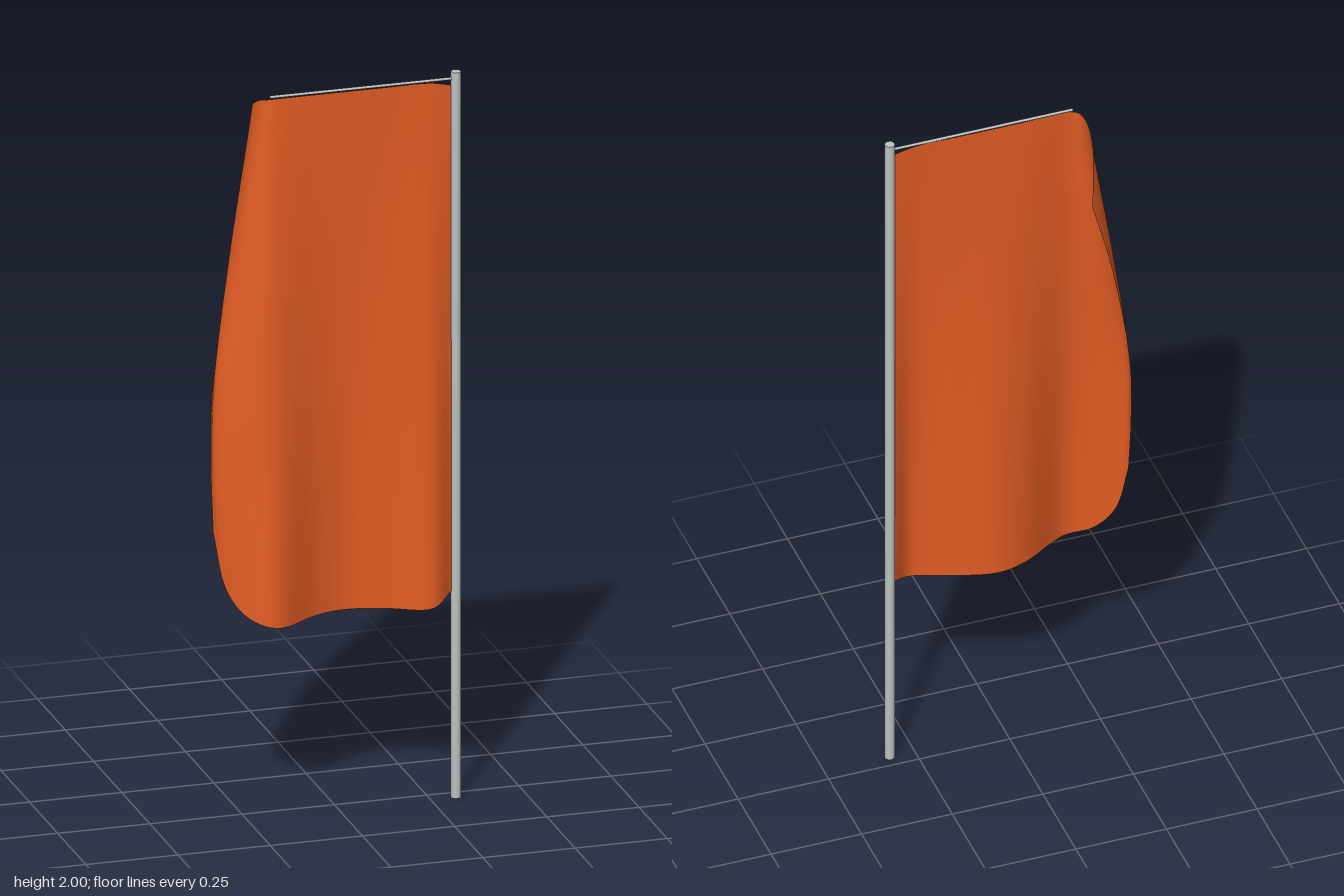
import * as THREE from 'three';

const V = (p) => new THREE.Vector3(...p);
const smooth = (points) => new THREE.CatmullRomCurve3(points, false, 'catmullrom', 0.5);

// Height, wave strength and free-edge curl [x, y, z] of the cloth, bottom to top
const SECTIONS = [
  { y: 0.54, wave: 1.0, curl: [[-0.18, 0.54, 0.103], [-0.26, 0.57, 0.075], [-0.31, 0.65, 0.04], [-0.332, 0.79, 0.012]] },
  { y: 0.86, wave: 0.8, curl: [[-0.18, 0.86, 0.088], [-0.27, 0.88, 0.06], [-0.325, 0.91, 0.024], [-0.332, 0.98, -0.008]] },
  { y: 0.2 + 1, wave: 0.55, curl: [[-0.18, 1.2, 0.071], [-0.265, 1.2, 0.05], [-0.32, 1.2, 0.008], [-0.315, 1.2, -0.04]] },
  { y: 1.6, wave: 0.25, curl: [[-0.18, 1.6, 0.052], [-0.245, 1.6, 0.025], [-0.268, 1.57, -0.03], [-0.25, 1.53, -0.09]] },
  { y: 1.975, wave: 0.0, curl: [[-0.18, 1.975, 0.036], [-0.211, 1.96, 0.0], [-0.207, 1.91, -0.06], [-0.19, 1.76, -0.105]] },
];

// Ripple of the cloth between the pole and the curl: [x, z offset at full strength]
const RIPPLE = [[0.24, 0.042], [0.13, 0.003], [0.03, -0.021], [-0.06, 0.0]];

function clothGeometry(cols = 64, rows = 48) {
  const rails = SECTIONS.map(({ y, wave, curl }, i) => {
    const hem = i === 0 ? 0.03 : i === SECTIONS.length - 1 ? -0.012 : 0; // rounded corners at the pole
    const points = [
      [0.308, y + hem, 0.035],
      ...RIPPLE.map(([x, dz]) => [x, y, 0.035 + dz * wave]),
      ...curl,
    ];
    return smooth(points.map(V));
  });
  const position = [];
  const index = [];
  for (let c = 0; c <= cols; c++) {
    const column = smooth(rails.map((rail) => rail.getPoint(c / cols)));
    for (let r = 0; r <= rows; r++) {
      position.push(...column.getPoint(r / rows).toArray());
      if (c < cols && r < rows) {
        const a = c * (rows + 1) + r;
        const b = a + rows + 1;
        index.push(a, a + 1, b, b, a + 1, b + 1);
      }
    }
  }
  const geometry = new THREE.BufferGeometry();
  geometry.setAttribute('position', new THREE.Float32BufferAttribute(position, 3));
  geometry.setIndex(index);
  geometry.computeVertexNormals();
  return geometry;
}

export function createModel() {
  const model = new THREE.Group();
  model.name = 'bannerFlag';

  const orange = new THREE.MeshStandardMaterial({ color: 0xe25c24, side: THREE.DoubleSide });
  orange.name = 'orangeCloth';
  const metal = new THREE.MeshStandardMaterial({ color: 0xbcc4c1 });
  metal.name = 'greyMetal';

  const add = (name, geometry, material, x = 0, y = 0, z = 0) => {
    const mesh = new THREE.Mesh(geometry, material);
    mesh.name = name;
    mesh.position.set(x, y, z);
    model.add(mesh);
    return mesh;
  };

  // Upright pole
  add('pole', new THREE.CylinderGeometry(0.0135, 0.0135, 2, 10), metal, 0.319, 1, 0.035);

  // Thin arm holding the top hem
  const arm = new THREE.CylinderGeometry(0.004, 0.004, 0.505, 8).rotateZ(Math.PI / 2);
  add('topArm', arm, metal, 0.067, 1.981, 0.035);

  // Rippled cloth with its free edge curling back
  add('cloth', clothGeometry(), orange);

  return model;
}
